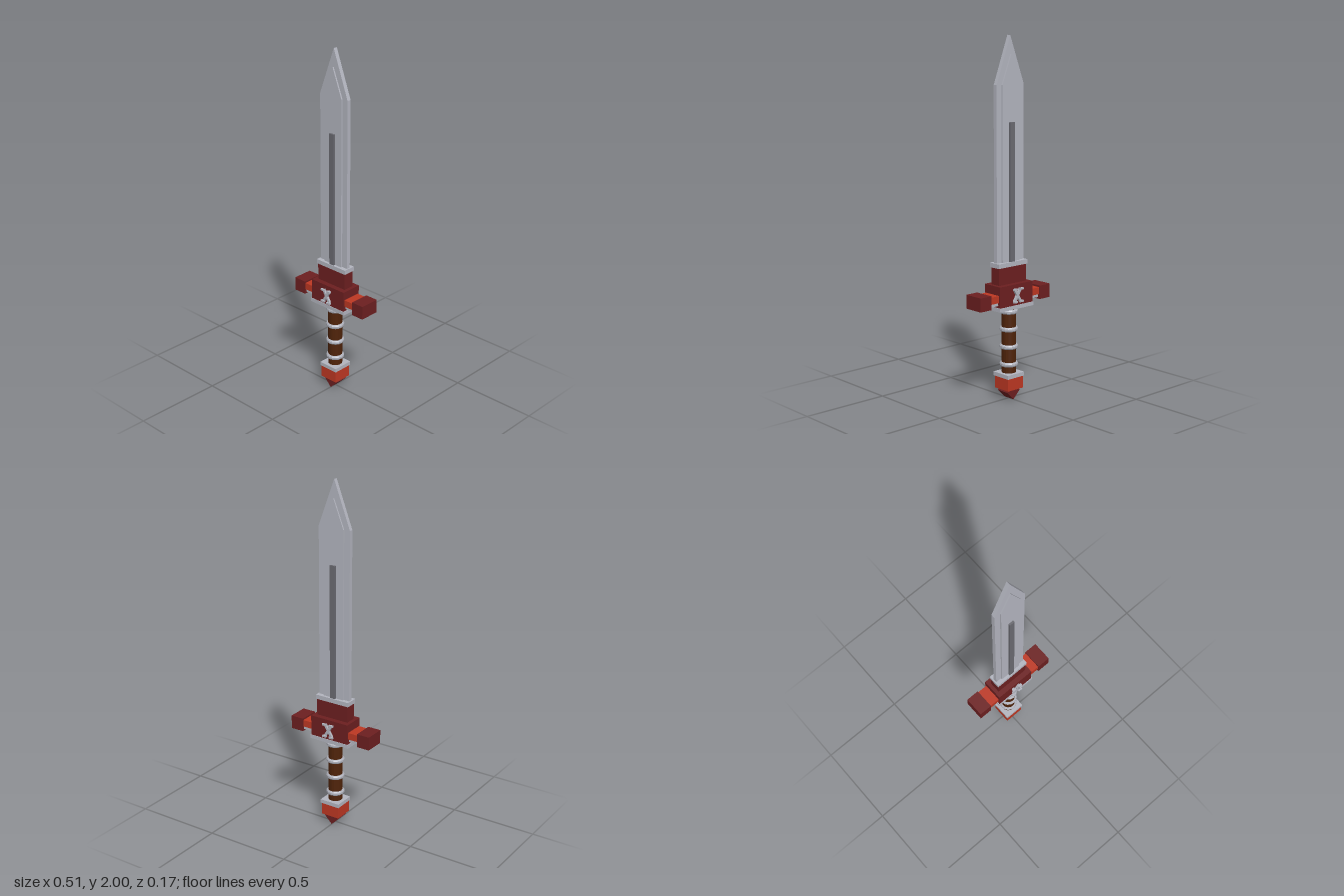
import * as THREE from 'three';

const mat = (name, color, flatShading = true) => {
  const m = new THREE.MeshStandardMaterial({ color, flatShading });
  m.name = name;
  return m;
};

export function createModel() {
  const steel = mat('steel', 0xb2b4be);
  const darkSteel = mat('dark steel', 0x6a6a71);
  const darkRed = mat('dark red', 0x6c1f20);
  const brightRed = mat('bright red', 0xbc3722);
  const leather = mat('brown leather', 0x4f2309);

  const sword = new THREE.Group();
  sword.name = 'sword';

  const add = (name, geometry, material, x = 0, y = 0, z = 0, parent = sword) => {
    const mesh = new THREE.Mesh(geometry, material);
    mesh.name = name;
    mesh.position.set(x, y, z);
    parent.add(mesh);
    return mesh;
  };
  // Box centred on z, from half width, bottom, top and half depth
  const block = (name, material, halfX, y0, y1, halfZ, x = 0) =>
    add(name, new THREE.BoxGeometry(halfX * 2, y1 - y0, halfZ * 2), material, x, (y0 + y1) / 2);

  // Pointed slab used for both layers of the blade
  const bladeLayer = (name, half, shoulder, tip, halfZ) => {
    const s = new THREE.Shape();
    s.moveTo(-half, 0.77);
    s.lineTo(half, 0.77);
    s.lineTo(half, shoulder);
    s.lineTo(0, tip);
    s.lineTo(-half, shoulder);
    s.closePath();
    const g = new THREE.ExtrudeGeometry(s, { depth: halfZ * 2, bevelEnabled: false });
    add(name, g, steel, 0, 0, -halfZ);
  };
  bladeLayer('bladeEdge', 0.098, 1.74, 2.0, 0.0115);
  bladeLayer('bladeCore', 0.063, 1.74, 1.9, 0.02);
  block('bladeRidge', darkSteel, 0.016, 0.77, 1.54, 0.031);

  // Guard
  block('bladeCollar', steel, 0.106, 0.755, 0.78, 0.036);
  block('upperGuard', darkRed, 0.1, 0.655, 0.755, 0.032);
  block('guardBlock', darkRed, 0.12, 0.543, 0.66, 0.062);
  block('guardPlate', steel, 0.125, 0.522, 0.543, 0.065);
  for (const side of [-1, 1]) {
    block('guardArm', brightRed, 0.034, 0.573, 0.612, 0.054, side * 0.15);
    block('guardArmPlate', steel, 0.034, 0.555, 0.573, 0.046, side * 0.15);
    block('guardEnd', darkRed, 0.0385, 0.545, 0.622, 0.058, side * 0.2185);
  }

  // Crossed bars with end caps on both faces of the guard
  for (const face of [1, -1]) {
    const cross = new THREE.Group();
    cross.name = 'crossOrnament';
    cross.position.set(0, 0.6, face * 0.062);
    sword.add(cross);
    for (const lean of [-1, 1]) {
      const bar = add('crossBar', new THREE.BoxGeometry(0.014, 0.082, 0.026), steel, 0, 0, 0, cross);
      bar.rotation.z = lean * 0.56;
      for (const end of [-1, 1]) {
        add('crossCap', new THREE.BoxGeometry(0.026, 0.01, 0.012), steel,
          lean * end * 0.0215, -end * 0.035, face * 0.015, cross);
      }
    }
  }

  // Grip with rings
  add('grip', new THREE.CylinderGeometry(0.04, 0.04, 0.39, 16), leather, 0, 0.33);
  const ringProfile = [[0.038, -0.012], [0.046, -0.012], [0.051, -0.005], [0.051, 0.005], [0.046, 0.012], [0.038, 0.012]]
    .map(([r, y]) => new THREE.Vector2(r, y));
  for (let i = 0; i < 4; i++) {
    add('gripRing', new THREE.LatheGeometry(ringProfile, 16), steel, 0, 0.2 + i * 0.1);
  }

  // Pommel with a diamond-turned block at its base
  block('pommelPlate', steel, 0.06, 0.13, 0.152, 0.06);
  block('pommelBlock', brightRed, 0.055, 0.06, 0.13, 0.055);
  const tip = add('pommelTip', new THREE.BoxGeometry(0.067, 0.067, 0.076), darkRed, 0, 0.0474);
  tip.rotation.z = Math.PI / 4;

  return sword;
}
